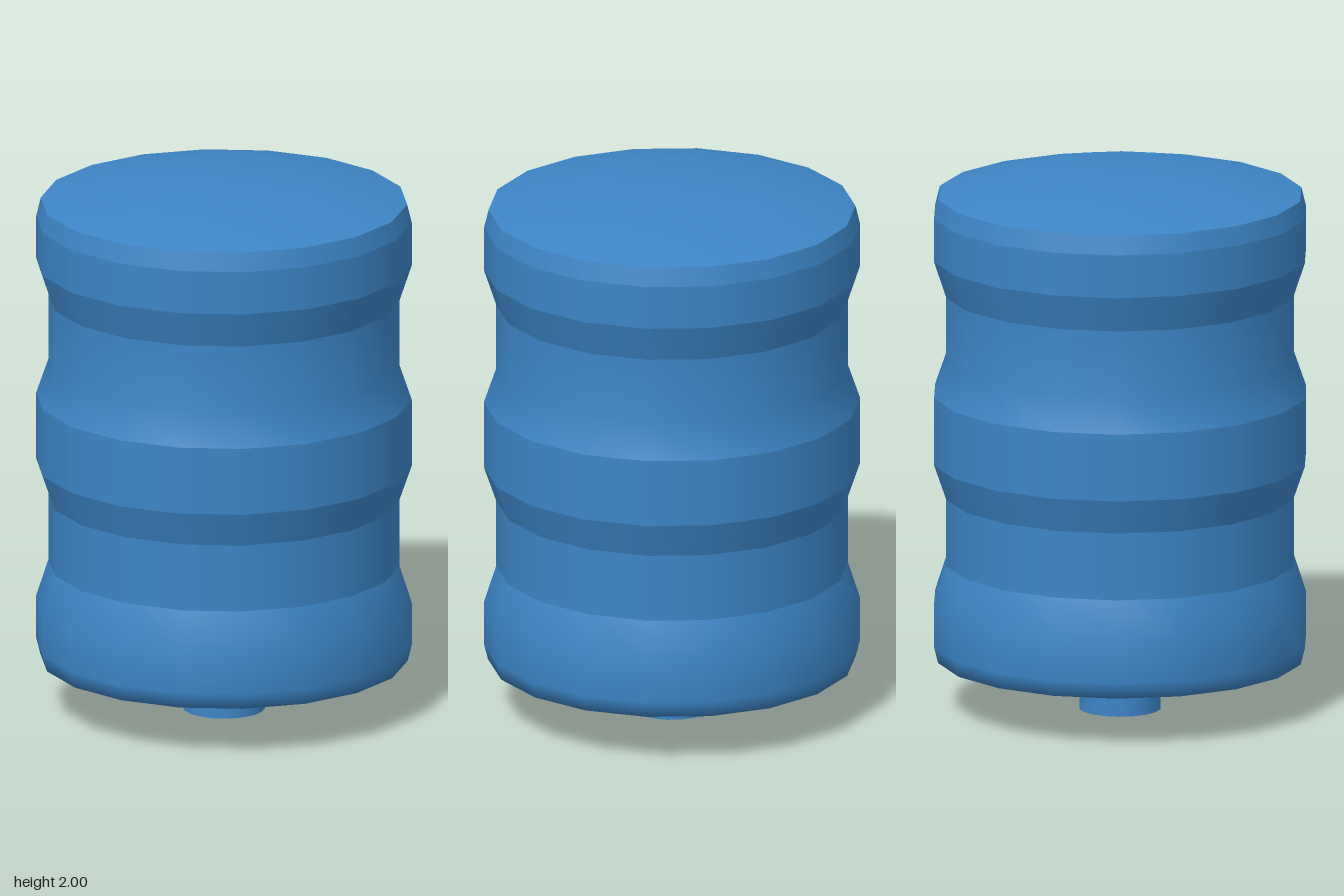
import * as THREE from 'three';

const SIDES = 18;

// Each part is a list of smooth profile runs [radius, height], bottom to top;
// the shading creases where one run ends and the next begins.
const PARTS = {
  drainStub: [
    [[0, 0], [0.15, 0]],
    [[0.15, 0], [0.15, 0.1]],
  ],
  coneBottom: [
    [[0.15, 0.1], [0.67, 0.19], [0.685, 0.25], [0.685, 0.41], [0.64, 0.55]],
  ],
  lowerWaist: [
    [[0.64, 0.55], [0.64, 0.8]],
    [[0.64, 0.8], [0.685, 0.93]],
  ],
  middleBand: [
    [[0.685, 0.93], [0.685, 1.18]],
  ],
  upperWaist: [
    [[0.685, 1.18], [0.64, 1.31], [0.64, 1.555]],
    [[0.64, 1.555], [0.685, 1.69]],
  ],
  topBand: [
    [[0.685, 1.69], [0.685, 1.85]],
    [[0.685, 1.85], [0.668, 1.92]],
  ],
  lid: [
    [[0.668, 1.92], [0.335, 2], [0, 2]],
  ],
};

export function createModel() {
  const model = new THREE.Group();
  model.name = 'ribbedTank';
  const material = new THREE.MeshStandardMaterial({ color: 0x3d85c6 });

  for (const [name, runs] of Object.entries(PARTS)) {
    const part = new THREE.Group();
    part.name = name;
    for (const run of runs) {
      const points = run.map(([r, y]) => new THREE.Vector2(r, y));
      // Start on the x axis so a corner of the polygon points to the side
      const geometry = new THREE.LatheGeometry(points, SIDES, Math.PI / 2);
      const mesh = new THREE.Mesh(geometry, material);
      mesh.name = name + 'Surface';
      part.add(mesh);
    }
    model.add(part);
  }
  return model;
}
